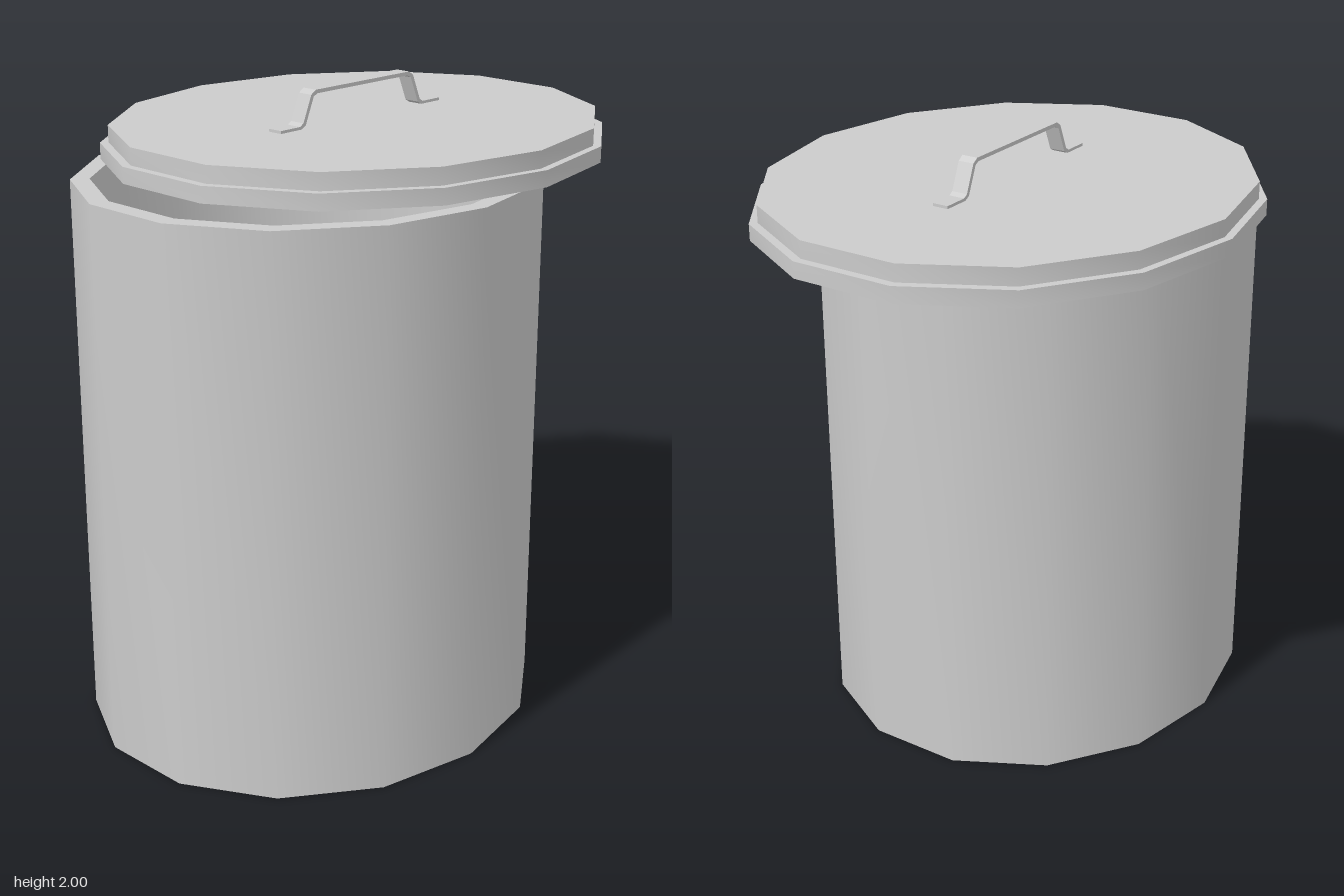
import * as THREE from 'three';
import { toCreasedNormals } from 'three/addons/utils/BufferGeometryUtils.js';

const SIDES = 14;
const OVAL = 1.12; // depth to width of the oval plan

// Oval turned part: profile of [x radius, y], smooth around, sharp at corners
function oval(name, profile, x, z, side) {
  const points = profile.map(([r, y]) => new THREE.Vector2(r, y));
  const lathe = new THREE.LatheGeometry(points, SIDES, Math.PI / 2);
  lathe.scale(1, 1, OVAL);
  const mesh = new THREE.Mesh(
    toCreasedNormals(lathe, 0.65),
    new THREE.MeshStandardMaterial({ color: 0xcccccc, side })
  );
  mesh.name = name;
  mesh.position.set(x, 0, z);
  return mesh;
}

// Bent strip: half outline of [z, y], mirrored and extruded across x
function createHandle(width) {
  const top = [[0.37, 1.885], [0.37, 1.894], [0.287, 1.894], [0.272, 1.903], [0.237, 1.987], [0.217, 2.0]];
  const under = [[0.21, 1.988], [0.226, 1.98], [0.262, 1.895], [0.28, 1.885]];
  const mirror = (pts) => pts.map(([z, y]) => [-z, y]).reverse();
  const outline = [...top, ...mirror(top), ...mirror(under), ...under];
  // under runs from the middle outwards, so its mirror must come first
  const shape = new THREE.Shape(outline.map(([z, y]) => new THREE.Vector2(z, y)));
  const geometry = new THREE.ExtrudeGeometry(shape, { depth: width, bevelEnabled: false });
  geometry.translate(0, 0, -width / 2);
  geometry.rotateY(-Math.PI / 2);
  const mesh = new THREE.Mesh(geometry, new THREE.MeshStandardMaterial({ color: 0xcccccc }));
  mesh.name = 'handle';
  return mesh;
}

export function createModel() {
  const model = new THREE.Group();
  model.name = 'bin';

  // Outer wall, flat rim, inner wall and raised floor in one sheet, open underneath
  model.add(oval('body',
    [[0.69, 0], [0.69, 1.775], [0.635, 1.775], [0.635, 0.06], [0, 0.06]],
    0.08, 0.19, THREE.DoubleSide));

  // Stepped lid, slid off towards the back
  const lid = new THREE.Group();
  lid.name = 'lid';
  lid.add(oval('lidPlate',
    [[0, 1.778], [0.765, 1.778], [0.765, 1.83], [0.74, 1.83], [0.74, 1.885], [0, 1.885]],
    0, 0, THREE.FrontSide));
  lid.add(createHandle(0.053));
  lid.position.set(-0.01, 0, -0.107);
  model.add(lid);

  return model;
}
